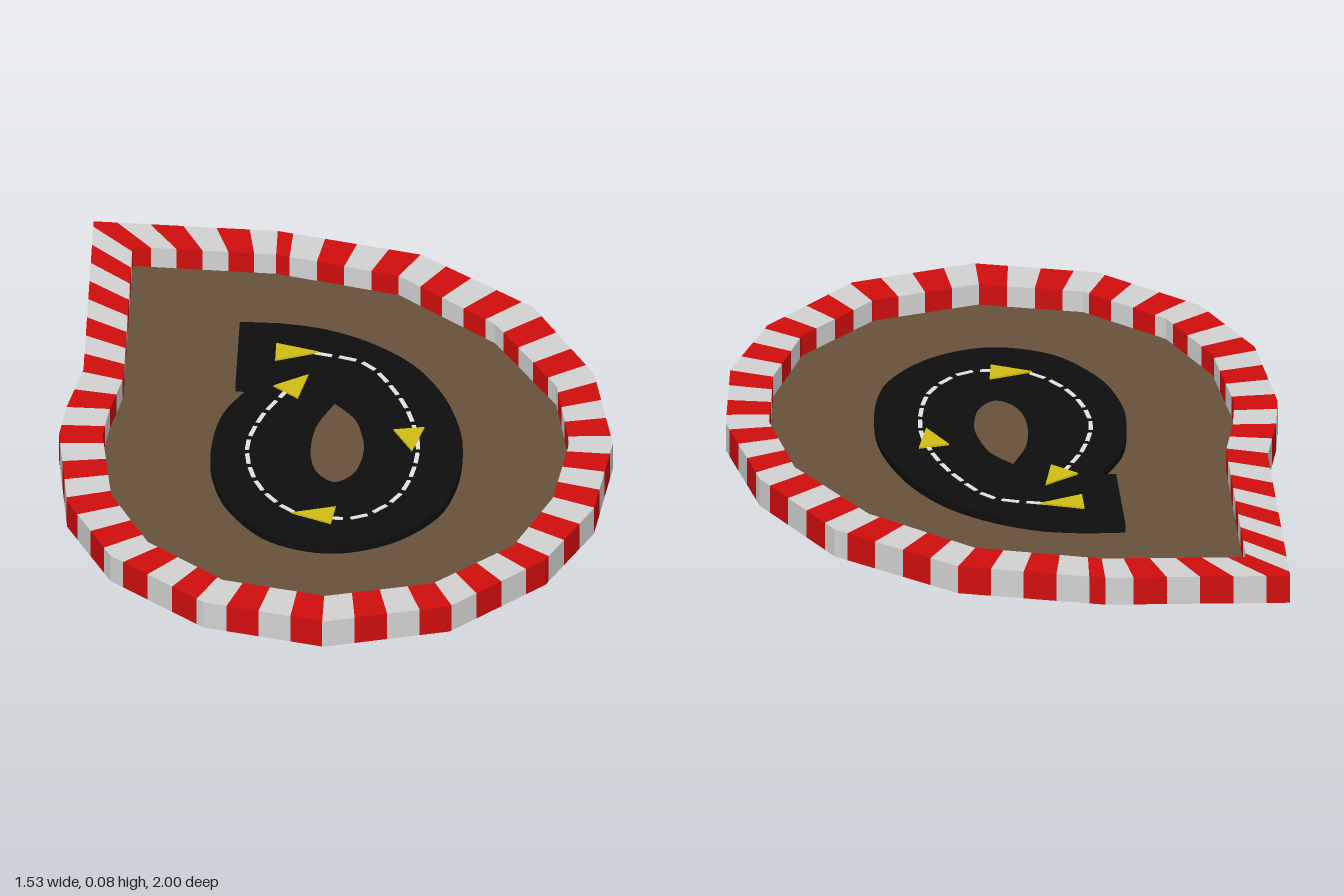
import * as THREE from 'three';

const WALL_H = 0.083, GROUND_Y = 0.02, ROAD_H = 0.022, ROAD_Y = GROUND_Y + ROAD_H;

const material = (name, color, side = THREE.FrontSide) => {
  const m = new THREE.MeshStandardMaterial({ color, side });
  m.name = name;
  return m;
};

// Kerb corners, anticlockwise from above: [outer x, outer z, inner x, inner z]
const KERB = [
  [-0.2, -0.97, -0.2, -0.85], [-0.71, -1, -0.598, -0.875], [-0.71, -0.25, -0.598, -0.21],
  [-0.75, -0.055, -0.63, -0.05], [-0.765, 0.08, -0.645, 0.08], [-0.73, 0.42, -0.61, 0.38],
  [-0.6, 0.69, -0.5, 0.615], [-0.335, 0.915, -0.285, 0.8], [0, 1, 0, 0.87],
  [0.345, 0.91, 0.295, 0.795], [0.6, 0.665, 0.51, 0.595], [0.725, 0.4, 0.61, 0.35],
  [0.765, 0.07, 0.645, 0.07], [0.7, -0.28, 0.598, -0.215], [0.52, -0.61, 0.418, -0.52],
  [0.2, -0.865, 0.143, -0.755],
];

const toVec = ([x, z]) => new THREE.Vector2(x, -z);
const lay = (geometry, y) => geometry.rotateX(-Math.PI / 2).translate(0, y, 0);

// Square-section kerb cut into stripes of equal length along its outer edge
function kerbStripes() {
  const half = 0.0919, phase = 2.835;
  const parts = [[], []];
  const quad = (out, a, b, c, d) => out.push(...a, ...b, ...c, ...a, ...c, ...d);
  let start = 0;
  KERB.forEach((p, i) => {
    const q = KERB[(i + 1) % KERB.length];
    const length = Math.hypot(q[0] - p[0], q[1] - p[1]);
    let s = start;
    while (s < start + length - 1e-4) {
      const n = Math.floor((s - phase) / half + 1e-4);
      const e = Math.min(phase + (n + 1) * half, start + length);
      const at = (v, k, y) => {
        const t = (v - start) / length;
        return [p[k] + (q[k] - p[k]) * t, y, p[k + 1] + (q[k + 1] - p[k + 1]) * t];
      };
      const [oa, ob, ia, ib] = [at(s, 0, 0), at(e, 0, 0), at(s, 2, 0), at(e, 2, 0)];
      const [OA, OB, IA, IB] = [oa, ob, ia, ib].map(v => [v[0], WALL_H, v[2]]);
      const out = parts[Math.abs(n % 2)];
      quad(out, OA, OB, IB, IA);
      quad(out, oa, ob, OB, OA);
      quad(out, ib, ia, IA, IB);
      quad(out, oa, ia, ib, ob);
      s = e;
    }
    start += length;
  });
  return parts.map(positions => {
    const g = new THREE.BufferGeometry();
    g.setAttribute('position', new THREE.Float32BufferAttribute(positions, 3));
    g.computeVertexNormals();
    return g;
  });
}

// Road slab: curved loop with a square start and a pointed hole
function roadGeometry() {
  const edge = [
    [-0.18, -0.567], [-0.05, -0.54], [0.085, -0.47], [0.2, -0.365], [0.285, -0.22], [0.335, -0.06],
    [0.35, 0.08], [0.335, 0.24], [0.285, 0.38], [0.165, 0.505], [0, 0.56], [-0.17, 0.505],
    [-0.285, 0.36], [-0.335, 0.21], [-0.345, 0.07], [-0.32, -0.1], [-0.245, -0.25],
  ].map(toVec);
  const shape = new THREE.Shape();
  shape.moveTo(-0.29, 0.25);
  shape.lineTo(-0.29, 0.57);
  shape.lineTo(-0.18, 0.567);
  shape.splineThru(edge.slice(1));
  const hole = new THREE.Path();
  hole.moveTo(-0.012, 0.165);
  hole.splineThru([[0.045, -0.09], [0.07, 0], [0.076, 0.08], [0.055, 0.18], [0.003, 0.23],
    [-0.05, 0.18], [-0.07, 0.08], [-0.058, -0.05], [-0.012, -0.165]].map(toVec));
  shape.holes.push(hole);
  return lay(new THREE.ExtrudeGeometry(shape, { depth: ROAD_H, bevelEnabled: false, curveSegments: 6 }), GROUND_Y);
}

export function createModel() {
  const red = material('kerb red', 0xd00d0d);
  const white = material('kerb white', 0xd2d2d2);
  const dirt = material('dirt brown', 0x68513c, THREE.DoubleSide);
  const asphalt = material('asphalt black', 0x0e0e0e);
  const yellow = material('arrow yellow', 0xd0bc14);
  const paint = material('line white', 0xe2e2e2);

  const model = new THREE.Group();
  model.name = 'raceTrack';
  const add = (name, geometry, mat, parent = model) => {
    const mesh = new THREE.Mesh(geometry, mat);
    mesh.name = name;
    parent.add(mesh);
    return mesh;
  };

  // Striped kerb and ground inside it
  const [redStripes, whiteStripes] = kerbStripes();
  add('redKerbStripes', redStripes, red);
  add('whiteKerbStripes', whiteStripes, white);
  const groundShape = new THREE.Shape(KERB.map(p => toVec([p[2], p[3]])));
  add('ground', lay(new THREE.ShapeGeometry(groundShape), GROUND_Y), dirt);

  add('road', roadGeometry(), asphalt);

  // Dashed centre line
  const line = new THREE.CatmullRomCurve3([
    [-0.08, -0.42], [0.06, -0.37], [0.15, -0.235], [0.205, -0.08], [0.225, 0.08], [0.18, 0.295],
    [0.085, 0.4], [0, 0.415], [-0.1, 0.39], [-0.2, 0.27], [-0.245, 0.08], [-0.215, -0.08], [-0.135, -0.25],
  ].map(([x, z]) => new THREE.Vector3(x, ROAD_Y + 0.001, z)));
  const dashes = new THREE.Group();
  dashes.name = 'centreLine';
  model.add(dashes);
  const count = 27;
  const dashGeometry = new THREE.BoxGeometry(0.012, 0.003, 0.05);
  for (let i = 0; i < count; i++) {
    const t = (i + 0.4) / count;
    const dash = add('dash', dashGeometry, paint, dashes);
    dash.position.copy(line.getPointAt(t));
    dash.lookAt(dash.position.clone().add(line.getTangentAt(t)));
  }

  // Direction arrows
  [
    [[-0.185, -0.46], [-0.185, -0.375], [-0.065, -0.42]],
    [[-0.09, -0.305], [-0.185, -0.245], [-0.115, -0.185]],
    [[0.21, 0.07], [0.155, -0.035], [0.24, -0.05]],
    [[-0.11, 0.395], [0.01, 0.36], [0, 0.445]],
  ].forEach(corners => {
    const shape = new THREE.Shape(corners.map(toVec));
    add('arrow', lay(new THREE.ExtrudeGeometry(shape, { depth: 0.005, bevelEnabled: false }), ROAD_Y), yellow);
  });

  return model;
}
